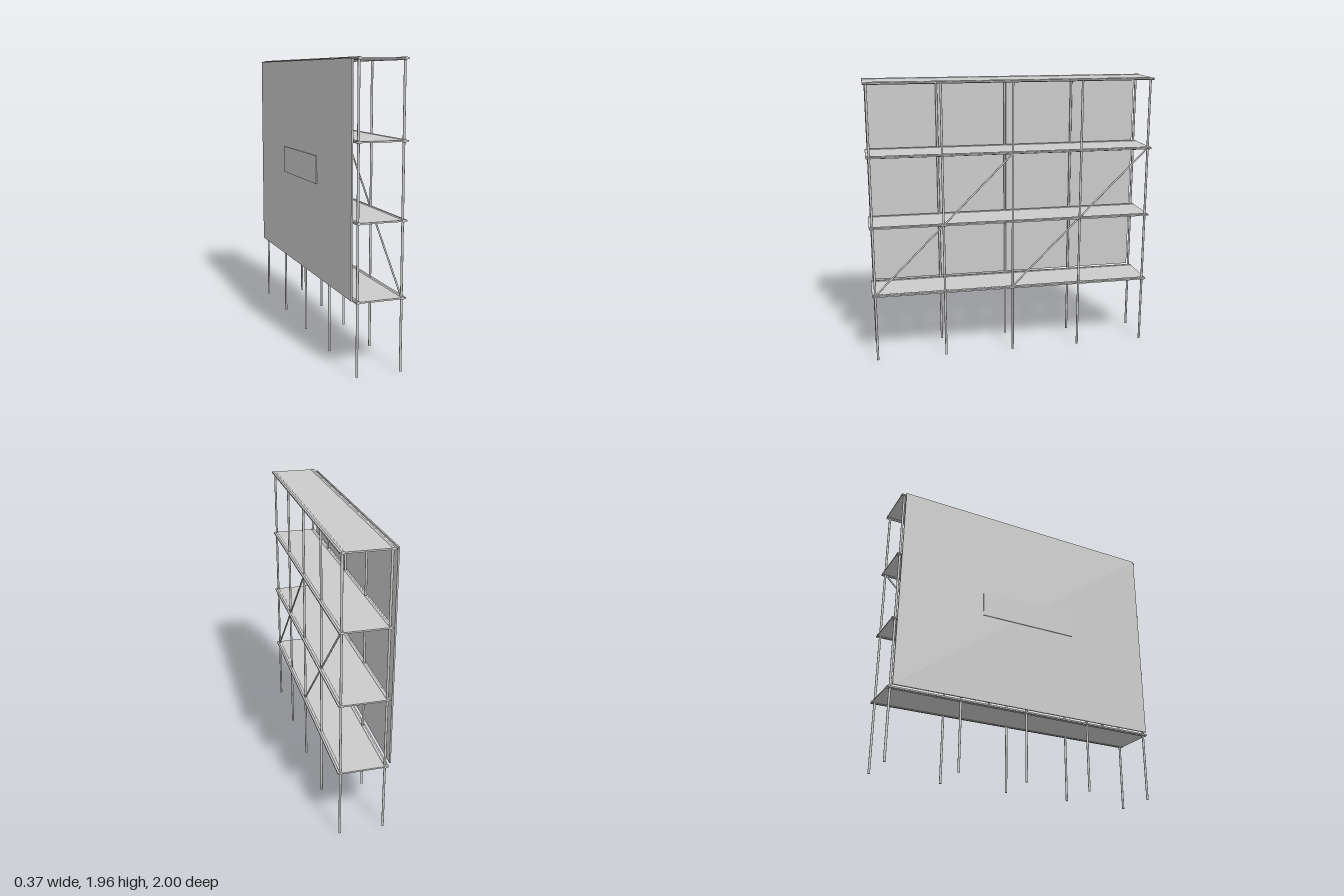
import * as THREE from 'three';

const FRONT_X = 0.159, BACK_X = -0.138;
const LEVELS = [0.483, 0.972, 1.461, 1.95];
const POST_Z = [-0.978, -0.489, 0, 0.489, 0.978];

export function createModel() {
  const model = new THREE.Group();
  const material = new THREE.MeshStandardMaterial({ color: 0xcccccc });

  const box = (name, [x0, x1], [y0, y1], [z0, z1]) => {
    const mesh = new THREE.Mesh(new THREE.BoxGeometry(x1 - x0, y1 - y0, z1 - z0), material);
    mesh.position.set((x0 + x1) / 2, (y0 + y1) / 2, (z0 + z1) / 2);
    mesh.name = name;
    model.add(mesh);
  };

  // Round bar between two points
  const bar = (name, from, to, radius) => {
    const a = new THREE.Vector3(...from), b = new THREE.Vector3(...to);
    const dir = b.clone().sub(a);
    const mesh = new THREE.Mesh(new THREE.CylinderGeometry(radius, radius, dir.length(), 16), material);
    mesh.position.copy(a).add(b).multiplyScalar(0.5);
    mesh.quaternion.setFromUnitVectors(new THREE.Vector3(0, 1, 0), dir.normalize());
    mesh.name = name;
    model.add(mesh);
  };

  // Two rows of upright posts and the long rails tying them together
  for (const x of [BACK_X, FRONT_X]) {
    for (const z of POST_Z) bar('post', [x, 0, z], [x, 1.95, z], 0.008);
    for (const y of LEVELS) bar('rail', [x, y, -1], [x, y, 1], 0.01);
  }

  // Deck boards
  for (const y of LEVELS) box('deck', [-0.157, 0.18], [y - 0.005, y + 0.005], [-1, 1]);

  // Diagonal braces on the open side
  for (const z of [0.97, 0]) bar('brace', [FRONT_X, 0.49, z], [FRONT_X, 1.455, z - 0.97], 0.006);

  // Large panel behind, with a thin plain plate on its outer face
  box('backPanel', [-0.18, -0.17], [0.492, 1.95], [-0.975, 0.975]);
  box('panelPlate', [-0.186, -0.18], [1.13, 1.32], [-0.36, 0.36]);

  return model;
}
